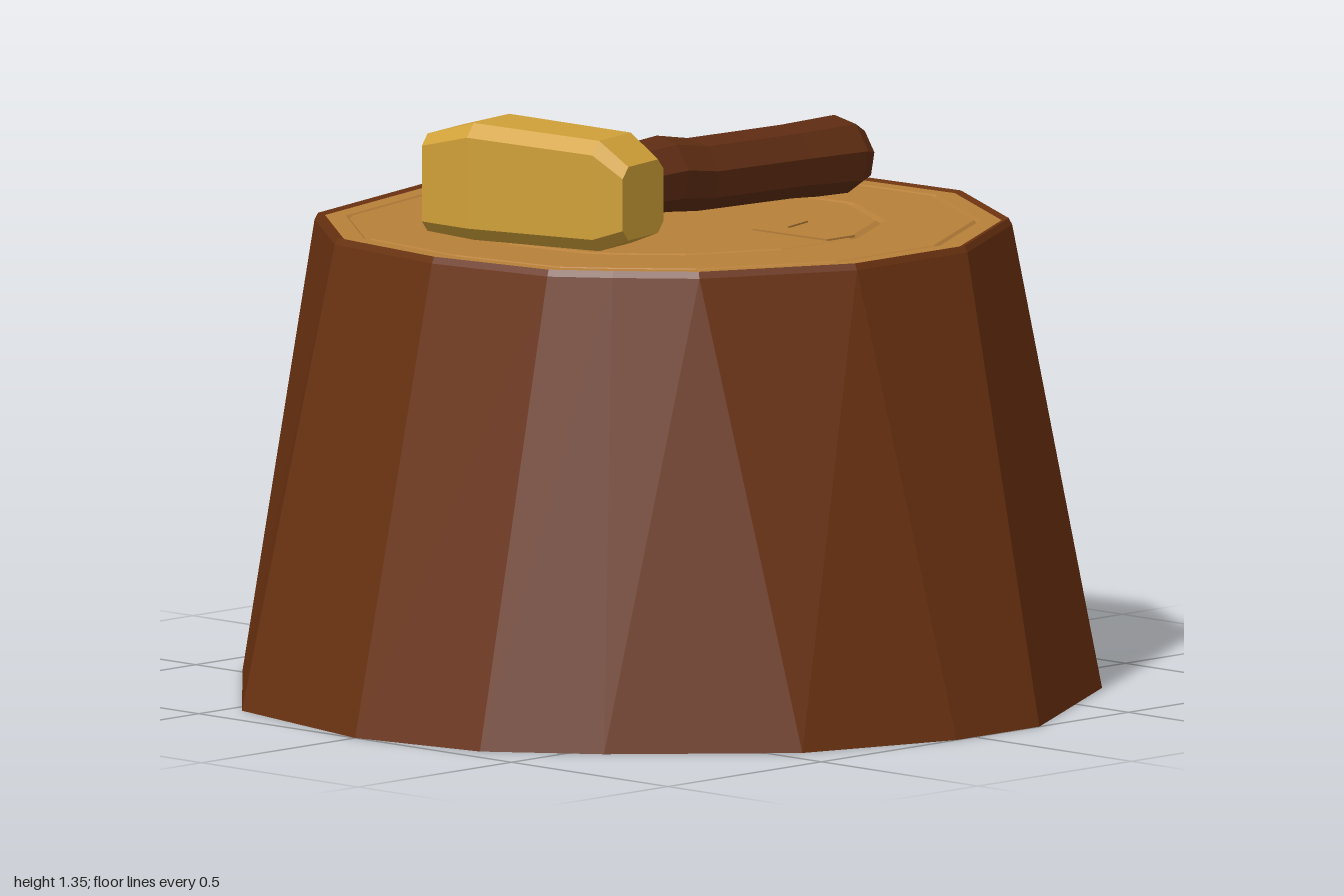
import * as THREE from 'three';

const V = (x, y, z) => new THREE.Vector3(x, y, z);

// Faceted geometry from a list of corner triples
function faceted(tris) {
  const g = new THREE.BufferGeometry();
  g.setAttribute('position', new THREE.Float32BufferAttribute(tris.flatMap(p => [p.x, p.y, p.z]), 3));
  g.computeVertexNormals();
  return g;
}

const center = ring => ring.reduce((s, p) => s.add(p), V(0, 0, 0)).divideScalar(ring.length);

// Skin a series of rings, with optional end caps and one side left out
function loft(rings, { start = true, end = true, skip = -1 } = {}) {
  const t = [], n = rings[0].length, last = rings.length - 1;
  const c0 = center(rings[0]), c1 = center(rings[last]);
  for (let i = 0; i < n; i++) {
    const j = (i + 1) % n;
    if (i !== skip) {
      for (let k = 0; k < last; k++) {
        const a = rings[k], b = rings[k + 1];
        t.push(a[i], b[i], a[j], a[j], b[i], b[j]);
      }
    }
    if (start) t.push(c0, rings[0][i], rings[0][j]);
    if (end) t.push(c1, rings[last][j], rings[last][i]);
  }
  return t;
}

export function createModel() {
  const model = new THREE.Group();
  const material = (name, color) => {
    const m = new THREE.MeshStandardMaterial({ color });
    m.name = name;
    return m;
  };
  const bark = material('bark brown', 0x6b3210);
  const wood = material('cut wood', 0xb8803a);
  const gold = material('golden head', 0xd0a038);
  const grip = material('handle brown', 0x5e2c12);
  const add = (name, geometry, mat, parent = model) => {
    const m = new THREE.Mesh(geometry, mat);
    m.name = name;
    parent.add(m);
    return m;
  };

  // Stump outlines as x, z pairs at the ground and at the cut
  const base = [[-0.04, -1], [0.33, -0.92], [0.76, -0.66], [0.98, -0.22], [0.99, 0.2], [0.71, 0.71], [0.21, 1],
    [-0.06, 1], [-0.44, 0.88], [-0.77, 0.57], [-0.94, 0.34], [-1, 0], [-0.9, -0.46], [-0.48, -0.87]];
  const cut = [[0.04, -0.77], [0.35, -0.7], [0.62, -0.41], [0.76, -0.18], [0.78, 0.2], [0.57, 0.56], [0.21, 0.77],
    [-0.15, 0.77], [-0.49, 0.6], [-0.62, 0.45], [-0.71, 0.33], [-0.76, 0.01], [-0.72, -0.34], [-0.49, -0.63]];
  const ring = (outline, s, y) => outline.map(([x, z]) => V(x * s, y, z * s));
  const bottom = ring(base, 1, 0), top = ring(cut, 1, 1.07);
  const rim = ring(cut, 0.99, 1.085), lip = ring(cut, 0.97, 1.08);

  // Bark wall, with a shallow wedge chipped out of one side
  const wall = loft([bottom, top], { end: false, skip: 4 });
  const [b4, b5, t4, t5] = [bottom[4], bottom[5], top[4], top[5]];
  const tip = V(0.785, 0.41, 0.42);
  const deep = center([t4, t5, tip]).add(V(-0.03, 0.08, -0.02));
  wall.push(b4, t4, tip, b4, tip, b5, b5, tip, t5);
  add('stumpBark', faceted(wall), bark);
  add('wedgeNotch', faceted([t4, t5, deep, t5, tip, deep, tip, t4, deep]), bark);
  add('barkRim', faceted(loft([top, rim, lip], { start: false, end: false })), bark);

  // Cut face with shallow growth-ring grooves
  const grain = [[0.97, 1.08], [0.91, 1.08], [0.9, 1.073], [0.89, 1.08], [0.64, 1.08], [0.625, 1.073], [0.61, 1.08]];
  add('cutFace', faceted(loft(grain.map(([s, y]) => ring(cut, s, y)), { start: false })), wood);

  // Jogged split in the grain
  const split = new THREE.Shape([[0.06, 0.47], [0.05, 0.24], [0.18, 0.2], [0.33, 0.08], [0.37, 0.1],
    [0.22, 0.25], [0.12, 0.28], [0.15, 0.47]].map(p => new THREE.Vector2(...p)));
  const splitGeo = new THREE.ExtrudeGeometry(split, { depth: 0.006, bevelEnabled: false });
  splitGeo.rotateX(Math.PI / 2);
  add('grainSplit', splitGeo, wood).position.y = 1.084;

  // Hammer lying on the cut face
  const hammer = new THREE.Group();
  hammer.name = 'hammer';
  model.add(hammer);

  // Head: chamfered sections [along, half width, low, high, chamfer]
  const head = [[-0.265, 0.1, 1.09, 1.315, 0.025], [-0.14, 0.108, 1.08, 1.35, 0.03],
    [0.19, 0.1, 1.08, 1.335, 0.03], [0.265, 0.09, 1.11, 1.28, 0.025]].map(([z, w, lo, hi, c]) => [
    [w, lo + c], [w - c, lo], [c - w, lo], [-w, lo + c], [-w, hi - c], [c - w, hi], [w - c, hi], [w, hi - c],
  ].map(([x, y]) => V(x, y, z)));
  const headMesh = add('hammerHead', faceted(loft(head)), gold, hammer);
  headMesh.position.set(-0.385, 0, 0);
  headMesh.rotation.y = 0.23;

  // Handle: octagonal sections [x, centre y, centre z, radius]
  const handle = [[-0.32, 1.17, -0.03, 0.08], [-0.15, 1.178, -0.025, 0.08], [0.02, 1.185, -0.02, 0.088],
    [0.12, 1.172, -0.02, 0.084], [0.42, 1.168, -0.015, 0.085], [0.59, 1.165, -0.01, 0.092],
    [0.63, 1.16, -0.01, 0.072], [0.645, 1.15, -0.01, 0.045]].map(([x, y, z, r]) =>
    Array.from({ length: 8 }, (_, i) => {
      const a = (i + 0.25) * Math.PI / 4;
      return V(x, y + r * Math.cos(a), z - r * Math.sin(a));
    }));
  add('hammerHandle', faceted(loft(handle)), grip, hammer);

  return model;
}
